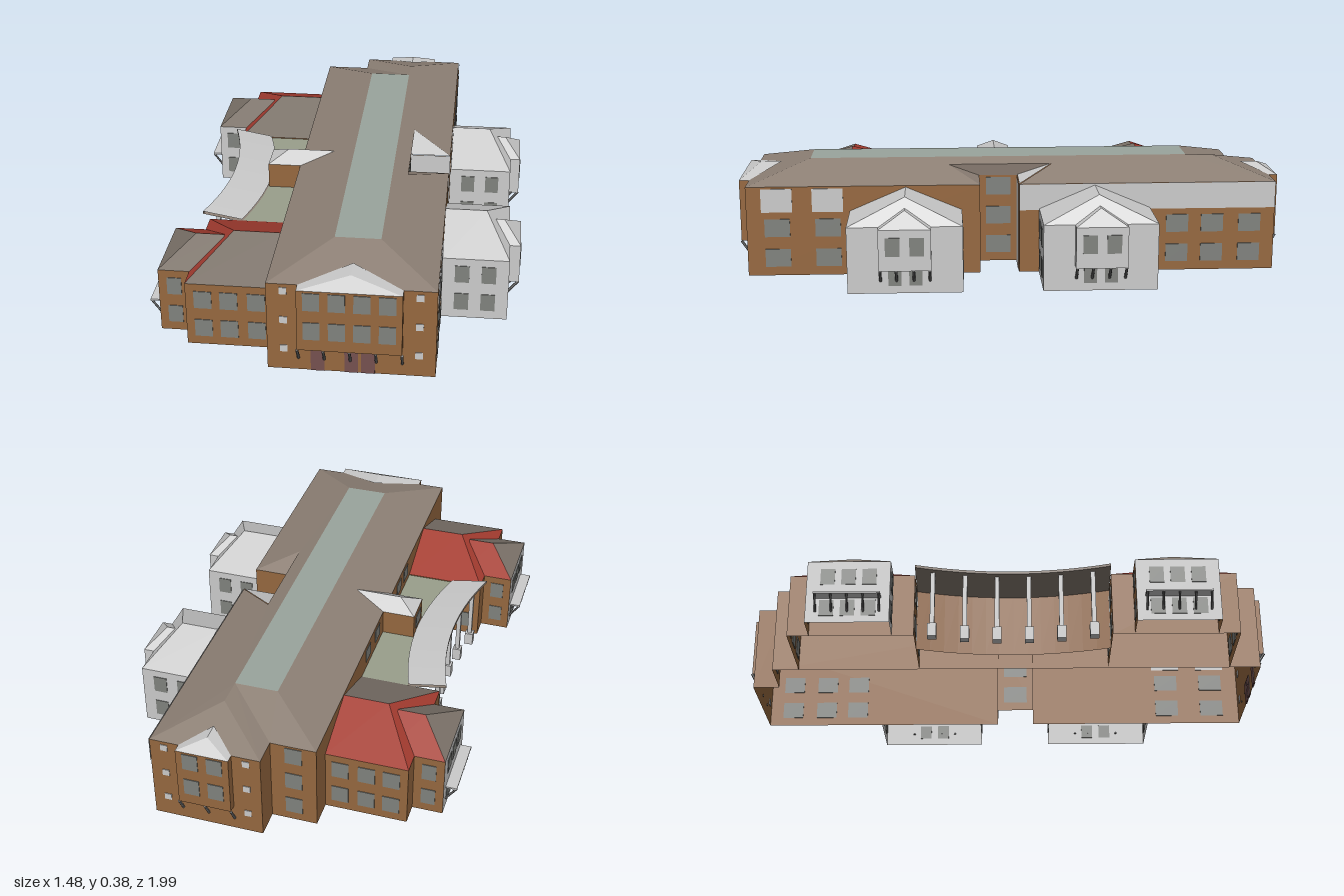
import * as THREE from 'three';

const C = { brick: 0x96683f, pale: 0xcccccc, roof: 0x8d8075, darkRoof: 0x7c736a, red: 0xa43c30, flat: 0x9aa59d, moss: 0x9a9f8c, glass: 0x80827e, door: 0x75504f, metal: 0x777777 };
const mats = {};
const mat = c => mats[c] ??= new THREE.MeshStandardMaterial({ color: C[c], flatShading: true, side: THREE.DoubleSide });

export function createModel() {
  const model = new THREE.Group();
  const building = new THREE.Group();
  building.name = 'building';
  building.rotation.y = 0.2225;
  model.add(building);

  const add = (name, geo, color, parent = building) => {
    const m = new THREE.Mesh(geo, mat(color));
    m.name = name;
    parent.add(m);
    return m;
  };
  // Flat polygons, each fanned from its first corner
  const faces = (name, polys, color, parent) => {
    const pos = [];
    for (const p of polys)
      for (let i = 1; i < p.length - 1; i++) pos.push(...p[0], ...p[i], ...p[i + 1]);
    const g = new THREE.BufferGeometry();
    g.setAttribute('position', new THREE.Float32BufferAttribute(pos, 3));
    g.computeVertexNormals();
    return add(name, g, color, parent);
  };
  // Upright walls along a path of [x, z] points
  const walls = (name, pts, y0, y1, color, closed = false, parent) => {
    const list = closed ? [...pts, pts[0]] : pts;
    const quads = list.slice(1).map((q, i) => {
      const p = list[i];
      return [[p[0], y0, p[1]], [q[0], y0, q[1]], [q[0], y1, q[1]], [p[0], y1, p[1]]];
    });
    return faces(name, quads, color, parent);
  };
  // Panes at fractions ts along a wall and heights ys
  const panes = (p, q, ts, ys, w = 0.06, h = 0.065, color = 'glass', parent = building) => {
    for (const t of ts) for (const y of ys) {
      const m = add(color === 'door' ? 'door' : 'window', new THREE.BoxGeometry(w, h, 0.005), color, parent);
      m.position.set(p[0] + (q[0] - p[0]) * t, y, p[1] + (q[1] - p[1]) * t);
      m.rotation.y = Math.atan2(p[1] - q[1], q[0] - p[0]);
    }
  };
  const strut = (name, from, to, r, parent) => {
    const a = new THREE.Vector3(...from), b = new THREE.Vector3(...to);
    const m = add(name, new THREE.CylinderGeometry(r, r, a.distanceTo(b), 6), 'metal', parent);
    m.position.copy(a).add(b).multiplyScalar(0.5);
    m.quaternion.setFromUnitVectors(new THREE.Vector3(0, 1, 0), b.sub(a).normalize());
  };
  // Hipped roof of a side wing, pointing to +x (s = 1) or -x (s = -1)
  const hip = (name, s, root, end, inset, z0, z1, y0, y1, cols, parent) => {
    const m = (z0 + z1) / 2, p = end - inset;
    const v = (x, y, z) => [s * x, y, z];
    const dir = f => [s > 0 ? f : f.reverse()];
    faces(name + 'End', dir([v(end, y0, z1), v(end, y0, z0), v(p, y1, m)]), cols[0], parent);
    faces(name + 'North', dir([v(end, y0, z0), v(root, y0, z0), v(root, y1, m), v(p, y1, m)]), cols[1], parent);
    faces(name + 'South', dir([v(root, y0, z1), v(end, y0, z1), v(p, y1, m), v(root, y1, m)]), cols[2], parent);
  };

  // Main block walls with an east court notch and a narrower north end
  const E = 0.325, T = 0.385;
  walls('mainWalls', [[0.374, -0.01], [0.374, -0.932], [-0.018, -0.932], [-0.018, -0.834], [-0.18, -0.834], [-0.18, 0.96],
    [0.374, 0.96], [0.374, 0.13], [0.225, 0.13], [0.225, -0.01]], 0, E, 'brick', true);
  walls('paleUpperWall', [[0.377, -0.01], [0.377, -0.932]], 0.23, E, 'pale');
  walls('paleCourtWall', [[0.225, -0.007], [0.374, -0.007]], 0, E, 'pale');

  // Main roof
  const A = [0.02, T, -0.637], B = [0.175, T, -0.637], Cc = [0.175, T, 0.745], D = [0.02, T, 0.745];
  const SW = [-0.18, E, 0.96], SE = [0.374, E, 0.96], NW = [-0.18, E, -0.834], I = [-0.018, E, -0.834];
  const n1 = [-0.018, E, -0.932], n2 = [0.374, E, -0.932], R = [0.177, 0.383, -0.735];
  const E1 = [0.374, E, 0.13], E2 = [0.374, E, -0.01], N1 = [0.225, E, 0.13], N2 = [0.225, E, -0.01];
  const aS = [0.23, 0.368, 0.241], aN = [0.23, 0.368, -0.137];
  faces('flatRoofTop', [[A, D, Cc, B]], 'flat');
  faces('mainRoof', [[SW, D, A, NW], [SW, SE, Cc, D], [Cc, SE, E1, aS], [Cc, aS, aN, B], [B, aN, E2, n2, R],
    [E1, N1, aS], [N1, N2, aN, aS], [I, NW, A, B], [n1, I, B, R], [n2, n1, R]], 'roof');
  faces('courtHip', [[N2, E2, aN].map(p => [p[0], p[1] + 0.002, p[2]])], 'pale');

  // Windows of the main block
  const floors = [0.065, 0.175, 0.285];
  panes([0.374, 0.96], [0.374, 0.6], [0.3, 0.8], [0.065, 0.175], 0.09);
  panes([0.374, 0.96], [0.374, 0.6], [0.3, 0.8], [0.275], 0.11, 0.085, 'pale');
  panes([0.374, -0.48], [0.374, -0.932], [0.22, 0.5, 0.8], [0.065, 0.175], 0.08);
  panes([0.225, 0.13], [0.225, -0.01], [0.5], floors, 0.09);
  panes([-0.18, 0.96], [0.374, 0.96], [0.1, 0.9], [0.08, 0.19, 0.3], 0.025, 0.025, 'pale');
  panes([-0.18, 0.96], [0.374, 0.96], [0.3, 0.5, 0.6], [0.04], 0.045, 0.08, 'door');
  panes([0.374, -0.932], [-0.018, -0.932], [0.13, 0.87], [0.08, 0.19, 0.3], 0.025, 0.025, 'pale');
  panes([-0.018, -0.834], [-0.18, -0.834], [0.5], floors);
  panes([-0.18, -0.29], [-0.18, 0.405], [0.12, 0.3, 0.75, 0.9], [0.285], 0.06, 0.05);

  // Overhanging end bays with struts and small hipped roofs
  const endBay = (name, s, x0, x1, zWall, zOut, zApex, n) => {
    const g = new THREE.Group();
    g.name = name;
    building.add(g);
    const m = (x0 + x1) / 2, [l, r] = s > 0 ? [x0, x1] : [x1, x0];
    walls('bayWalls', [[l, zWall], [l, zOut], [r, zOut], [r, zWall]], 0.1, E, 'brick', false, g);
    faces('bayFloor', [[[l, 0.1, zOut], [l, 0.1, zWall], [r, 0.1, zWall], [r, 0.1, zOut]]], 'pale', g);
    const mid = zOut - s * 0.06;
    faces('bayRoof', [[[l, E, zOut], [r, E, zOut], [m, 0.357, mid]],
      [[r, E, zOut], [r, E, zWall], [m, 0.357, zApex], [m, 0.357, mid]],
      [[l, E, zWall], [l, E, zOut], [m, 0.357, mid], [m, 0.357, zApex]]], 'pale', g);
    panes([l, zOut], [r, zOut], n > 3 ? [0.14, 0.38, 0.62, 0.86] : [0.27, 0.73], [0.175, 0.285], 0.055, 0.065, 'glass', g);
    for (let i = 0; i < n; i++) {
      const x = x0 + (x1 - x0) * i / (n - 1);
      strut('bayStrut', [x, 0.1, zOut], [x, 0.045, zWall], 0.005, g);
    }
  };
  endBay('southBay', 1, -0.077, 0.265, 0.96, 0.996, 0.86, 5);
  endBay('northBay', -1, 0.083, 0.27, -0.932, -0.962, -0.84, 3);

  // East wings, each with an overhanging bay
  const pale3 = ['pale', 'pale', 'pale'];
  for (const z of [-0.28, 0.394]) {
    const g = new THREE.Group();
    g.name = 'eastWing';
    building.add(g);
    const [z0, z1] = [z - 0.199, z + 0.199];
    walls('wingWalls', [[0.374, z1], [0.604, z1], [0.604, z0], [0.374, z0]], 0, 0.235, 'pale', false, g);
    hip('wingRoof', 1, 0.374, 0.604, 0.085, z0, z1, 0.235, 0.32, pale3, g);
    walls('bayWalls', [[0.604, z + 0.09], [0.642, z + 0.09], [0.642, z - 0.09], [0.604, z - 0.09]], 0.09, 0.235, 'pale', false, g);
    faces('bayFloor', [[[0.604, 0.09, z + 0.09], [0.604, 0.09, z - 0.09], [0.642, 0.09, z - 0.09], [0.642, 0.09, z + 0.09]]], 'pale', g);
    hip('bayRoof', 1, 0.545, 0.642, 0.06, z - 0.09, z + 0.09, 0.235, 0.288, pale3, g);
    panes([0.642, z + 0.09], [0.642, z - 0.09], [0.27, 0.73], [0.175], 0.05, 0.065, 'glass', g);
    panes([0.604, z + 0.09], [0.604, z - 0.09], [0.3, 0.7], [0.055], 0.045, 0.055, 'glass', g);
    panes([0.374, z1], [0.604, z1], [0.3, 0.7], [0.065, 0.175], 0.05, 0.065, 'glass', g);
    panes([0.604, z0], [0.374, z0], [0.3, 0.7], [0.065, 0.175], 0.05, 0.065, 'glass', g);
    for (const k of [-0.085, -0.03, 0.03, 0.085]) strut('bayStrut', [0.64, 0.09, z + k], [0.604, 0.045, z + k], 0.005, g);
  }

  // West wings: broad inner part, narrower outer part, awning
  for (const z of [-0.514, 0.625]) {
    const g = new THREE.Group();
    g.name = 'westWing';
    building.add(g);
    const [z0, z1, o0, o1] = [z - 0.222, z + 0.222, z - 0.145, z + 0.145];
    walls('innerWalls', [[-0.18, z0], [-0.472, z0], [-0.472, z1], [-0.18, z1]], 0, 0.235, 'brick', false, g);
    walls('outerSouthWall', [[-0.58, o1], [-0.472, o1]], 0, 0.235, z < 0 ? 'pale' : 'brick', false, g);
    walls('outerNorthWall', [[-0.472, o0], [-0.58, o0]], 0, 0.235, 'brick', false, g);
    walls('outerEndWall', [[-0.58, o0], [-0.58, o1]], 0, 0.235, 'pale', false, g);
    hip('innerRoof', -1, 0.18, 0.472, 0.13, z0, z1, 0.235, 0.32, ['red', 'red', 'darkRoof'], g);
    hip('outerRoof', -1, 0.375, 0.58, 0.107, o0, o1, 0.235, 0.302, ['darkRoof', 'red', 'darkRoof'], g);
    for (const zz of [z0, z1]) panes([-0.472, zz], [-0.18, zz], [0.2, 0.5, 0.82], [0.065, 0.175], 0.06, 0.065, 'glass', g);
    for (const zz of [o0, o1]) panes([-0.58, zz], [-0.472, zz], [0.5], [0.065, 0.175], 0.05, 0.065, 'glass', g);
    panes([-0.58, o0], [-0.58, o1], [0.25, 0.5, 0.75], [0.055, 0.175], 0.05, 0.06, 'glass', g);
    add('awning', new THREE.BoxGeometry(0.04, 0.006, 0.23), 'pale', g).position.set(-0.6, 0.095, z);
    for (let i = 0; i < 5; i++) {
      const k = z - 0.11 + i * 0.055;
      strut('awningStrut', [-0.618, 0.093, k], [-0.58, 0.04, k], 0.004, g);
    }
  }

  // Curved entrance canopy, low link roof and glazed wall between the west wings
  const arc = z => -0.44 - 0.055 * ((z - 0.055) / 0.345) ** 2;
  const top = [], under = [], link = [], screen = [], N = 14;
  for (let i = 0; i <= N; i++) {
    const z = -0.292 + i * 0.695 / N, x = arc(z);
    screen.push([x + 0.14, z]);
    if (i === N) break;
    const w = z + 0.695 / N, xw = arc(w);
    top.push([[x, 0.265, z], [xw, 0.265, w], [xw + 0.14, 0.24, w], [x + 0.14, 0.24, z]]);
    under.push([[x, 0.255, z], [xw, 0.255, w], [xw, 0.265, w], [x, 0.265, z]],
      [[x + 0.14, 0.23, z], [xw + 0.14, 0.23, w], [xw, 0.255, w], [x, 0.255, z]]);
    link.push([[x + 0.14, 0.232, z], [xw + 0.14, 0.232, w], [-0.18, 0.232, w], [-0.18, 0.232, z]]);
  }
  faces('canopyTop', top, 'pale');
  faces('canopyUnderside', under, 'roof');
  faces('linkRoof', link, 'moss');
  walls('linkWall', screen, 0, 0.232, 'brick');
  for (let i = 0; i < 6; i++) {
    const z = -0.23 + i * 0.114, x = arc(z) + 0.025;
    add('column', new THREE.BoxGeometry(0.016, 0.255, 0.016), 'pale').position.set(x, 0.1275, z);
    add('columnBase', new THREE.BoxGeometry(0.032, 0.05, 0.032), 'pale').position.set(x, 0.025, z);
    panes([screen[0][0], z], [screen[0][0], z + 0.1], [], []);
  }

  // Entrance tower rising through the link roof
  walls('towerWalls', [[-0.18, 0], [-0.3, 0], [-0.3, 0.125], [-0.18, 0.125]], 0, E, 'brick');
  hip('towerRoof', -1, 0.06, 0.3, 0.07, 0, 0.125, E, 0.362, pale3);
  panes([-0.3, 0], [-0.3, 0.125], [0.5], [0.28], 0.07, 0.05);
  return model;
}
